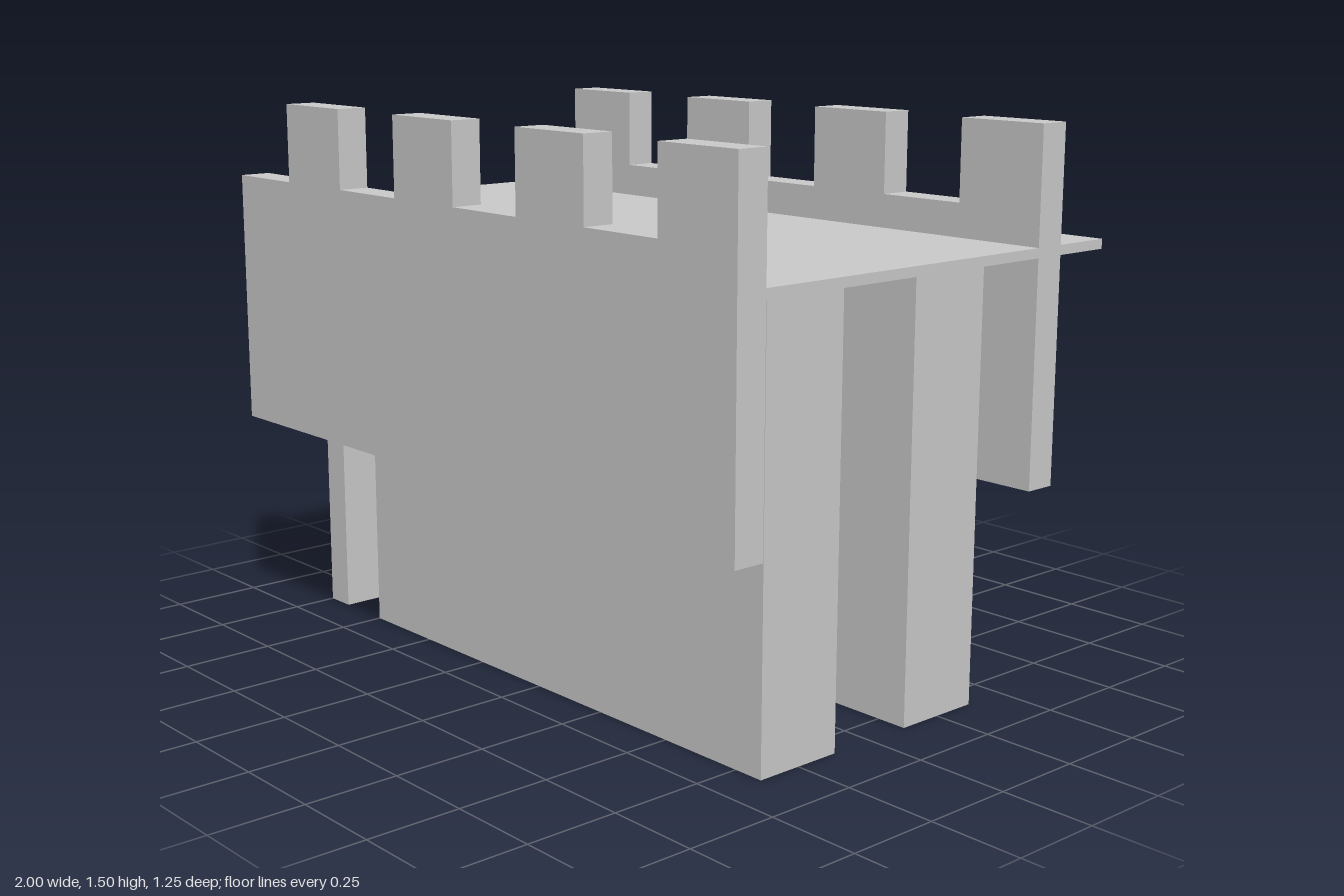
import * as THREE from 'three';

const stone = new THREE.MeshStandardMaterial({ color: 0xcccccc });
stone.name = 'stone grey';

const T = 0.085; // wall thickness

function add(group, name, geometry, x = 0, y = 0, z = 0) {
  const mesh = new THREE.Mesh(geometry, stone);
  mesh.name = name;
  mesh.position.set(x, y, z);
  group.add(mesh);
  return mesh;
}

// Box given by its minimum and maximum corners
function addBox(group, name, [x0, y0, z0], [x1, y1, z1]) {
  add(group, name, new THREE.BoxGeometry(x1 - x0, y1 - y0, z1 - z0),
    (x0 + x1) / 2, (y0 + y1) / 2, (z0 + z1) / 2);
}

// Battlement outline: gap and merlon alternate from -x to +x
function battlementGeometry() {
  const shape = new THREE.Shape();
  shape.moveTo(-1, 0.6);
  shape.lineTo(1, 0.6);
  for (let i = 3; i >= 0; i--) {
    const x = -1 + i * 0.5;
    shape.lineTo(x + 0.5, 1.5);
    shape.lineTo(x + 0.25, 1.5);
    shape.lineTo(x + 0.25, 1.29);
    shape.lineTo(x, 1.29);
  }
  shape.closePath();
  return new THREE.ExtrudeGeometry(shape, { depth: T, bevelEnabled: false });
}

// L-shaped plan, long wall on the front side and a return at +x
function lowerWallGeometry(height) {
  const shape = new THREE.Shape([
    [-0.75, 0], [0.835, 0], [0.835, 0.25], [0.835 - T, 0.25], [0.835 - T, T], [-0.75, T],
  ].map(([x, y]) => new THREE.Vector2(x, y)));
  const geometry = new THREE.ExtrudeGeometry(shape, { depth: height, bevelEnabled: false });
  return geometry.rotateX(-Math.PI / 2); // plan depth runs towards -z
}

export function createModel() {
  const model = new THREE.Group();
  model.name = 'battlementWalkway';

  // Walkway floor, overhanging at the back
  addBox(model, 'walkwayFloor', [-1, 1.178, -0.625], [1, 1.203, 0.54]);

  // Battlements
  const battlement = battlementGeometry();
  add(model, 'frontBattlement', battlement, 0, 0, 0.54);
  add(model, 'backBattlement', battlement, 0, 0, -0.46);

  // Lower walls, each with a door gap and post at the -x end
  const lowerWall = lowerWallGeometry(1.178);
  for (const [name, z] of [['front', 0.375], ['back', -0.125]]) {
    add(model, name + 'LowerWall', lowerWall, 0, 0, z);
    addBox(model, name + 'DoorPost', [-1, 0, z - 0.25], [-1 + T, 1.178, z]);
  }
  return model;
}
